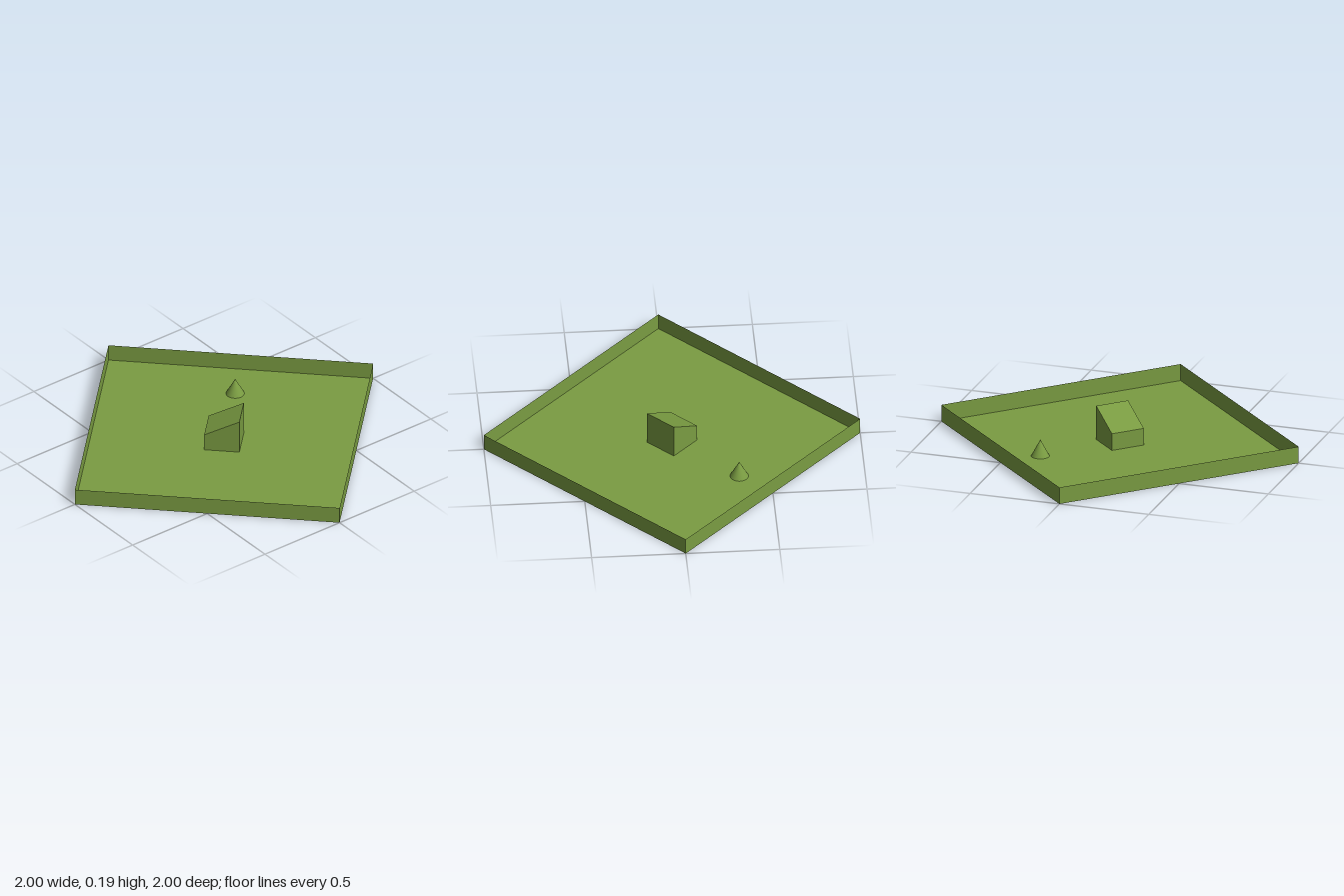
import * as THREE from 'three';

const WALL = 0.093;

// Split corners so that every facet gets its own normal
function faceted(geometry) {
  const flat = geometry.toNonIndexed();
  flat.computeVertexNormals();
  return flat;
}

export function createModel() {
  const group = new THREE.Group();
  const green = new THREE.MeshStandardMaterial({ color: 0x7a9c42, side: THREE.DoubleSide });
  green.name = 'olive green';

  const add = (name, geometry, x = 0, y = 0, z = 0) => {
    const mesh = new THREE.Mesh(geometry, green);
    mesh.name = name;
    mesh.position.set(x, y, z);
    group.add(mesh);
  };

  // Thin square floor standing on its corner
  add('floor', new THREE.CircleGeometry(1, 4).rotateX(-Math.PI / 2));

  // Sheet-thin rim around the floor
  add('rimWalls', faceted(new THREE.CylinderGeometry(1, 1, WALL, 4, 1, true)), 0, WALL / 2, 0);

  // Central block with a top sloping down towards the back right
  const r = 0.133, high = 0.19, low = 0.094;
  const block = new THREE.CylinderGeometry(r, r, high, 4).translate(0, high / 2, 0);
  const p = block.attributes.position;
  for (let i = 0; i < p.count; i++) {
    if (p.getY(i) > 0.01) {
      const t = (p.getX(i) + p.getZ(i)) / (2 * r) + 0.5;
      p.setY(i, low + (high - low) * t);
    }
  }
  add('slopedBlock', faceted(block));

  // Small cone near the back left wall
  add('cone', new THREE.ConeGeometry(0.049, 0.092, 32, 1, true), 0.333, 0.046, -0.333);

  return group;
}
